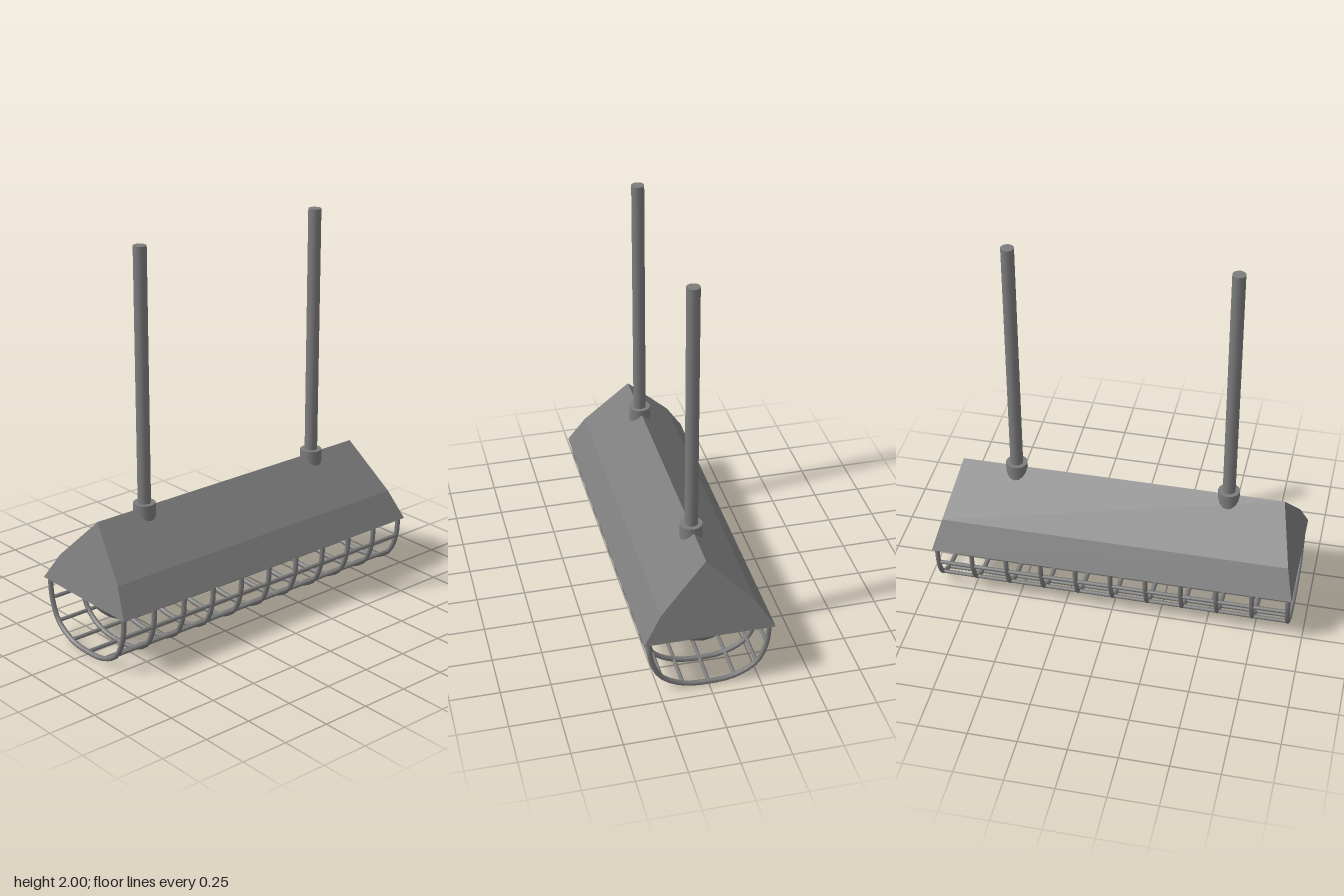
import * as THREE from 'three';

const metal = new THREE.MeshStandardMaterial({ color: 0x7c7c7c });
metal.name = 'grey metal';
const glass = new THREE.MeshStandardMaterial({ color: 0xc2c2c2 });
glass.name = 'pale glass';

const flat = (geometry) => {
  const g = geometry.index ? geometry.toNonIndexed() : geometry;
  g.computeVertexNormals();
  return g;
};

function add(parent, name, geometry, material, x = 0, y = 0, z = 0) {
  const mesh = new THREE.Mesh(geometry, material);
  mesh.name = name;
  mesh.position.set(x, y, z);
  parent.add(mesh);
  return mesh;
}

// Gabled prism whose end faces lean inwards towards the ridge
function hoodGeometry() {
  const shape = new THREE.Shape([
    [-0.325, 0.31], [0.325, 0.31], [0.235, 0.45], [0, 0.685], [-0.235, 0.45],
  ].map(([z, y]) => new THREE.Vector2(z, y)));
  const g = new THREE.ExtrudeGeometry(shape, { depth: 2, bevelEnabled: false });
  g.translate(0, 0, -1).rotateY(Math.PI / 2);
  const p = g.attributes.position;
  for (let i = 0; i < p.count; i++) {
    const halfLength = 0.94 - 0.1 * (p.getY(i) - 0.31) / 0.375;
    p.setX(i, Math.sign(p.getX(i)) * halfLength);
  }
  return flat(g);
}

export function createModel() {
  const model = new THREE.Group();
  model.name = 'cagedCeilingLamp';

  add(model, 'hood', hoodGeometry(), metal);

  // Lamp tube with a domed holder at each end
  const tube = new THREE.CylinderGeometry(0.165, 0.165, 1.48, 16, 1, true).rotateZ(Math.PI / 2);
  add(model, 'lampTube', flat(tube), glass, 0, 0.31);
  const domeProfile = [[0.165, 0.74], [0.147, 0.785], [0.105, 0.835], [0.055, 0.862], [0, 0.87]]
    .map(([r, x]) => new THREE.Vector2(r, x));
  for (const side of [-1, 1]) {
    const dome = new THREE.LatheGeometry(domeProfile, 16).rotateZ(-side * Math.PI / 2);
    add(model, side > 0 ? 'leftEndCap' : 'rightEndCap', flat(dome), metal, 0, 0.31);
  }

  // Wire guard: hoops joined by long bars
  const guard = new THREE.Group();
  guard.name = 'wireGuard';
  model.add(guard);
  const half = [[0.299, 0.315], [0.289, 0.205], [0.24, 0.096], [0.13, 0.032]];
  const hoopPoints = [
    ...half,
    [0, 0.018],
    ...half.map(([z, y]) => [-z, y]).reverse(),
  ];
  const path = new THREE.CatmullRomCurve3(hoopPoints.map(([z, y]) => new THREE.Vector3(0, y, z)));
  const hoop = new THREE.TubeGeometry(path, 24, 0.013, 8);
  for (let i = 0; i < 11; i++) add(guard, 'hoop', hoop, metal, -0.92 + i * 0.184);
  const bar = new THREE.CylinderGeometry(0.01, 0.01, 1.84, 8).rotateZ(Math.PI / 2);
  for (const [z, y] of hoopPoints.slice(1, -1)) add(guard, 'longBar', bar, metal, 0, y, z);

  // Hanging rods with collars set into the ridge
  const rod = new THREE.CylinderGeometry(0.033, 0.033, 1.35, 16);
  const collar = new THREE.CylinderGeometry(0.056, 0.056, 0.11, 16);
  for (const x of [-0.555, 0.555]) {
    const side = x > 0 ? 'left' : 'right';
    add(model, side + 'Rod', rod, metal, x, 1.325);
    add(model, side + 'Collar', collar, metal, x, 0.655);
  }
  return model;
}
